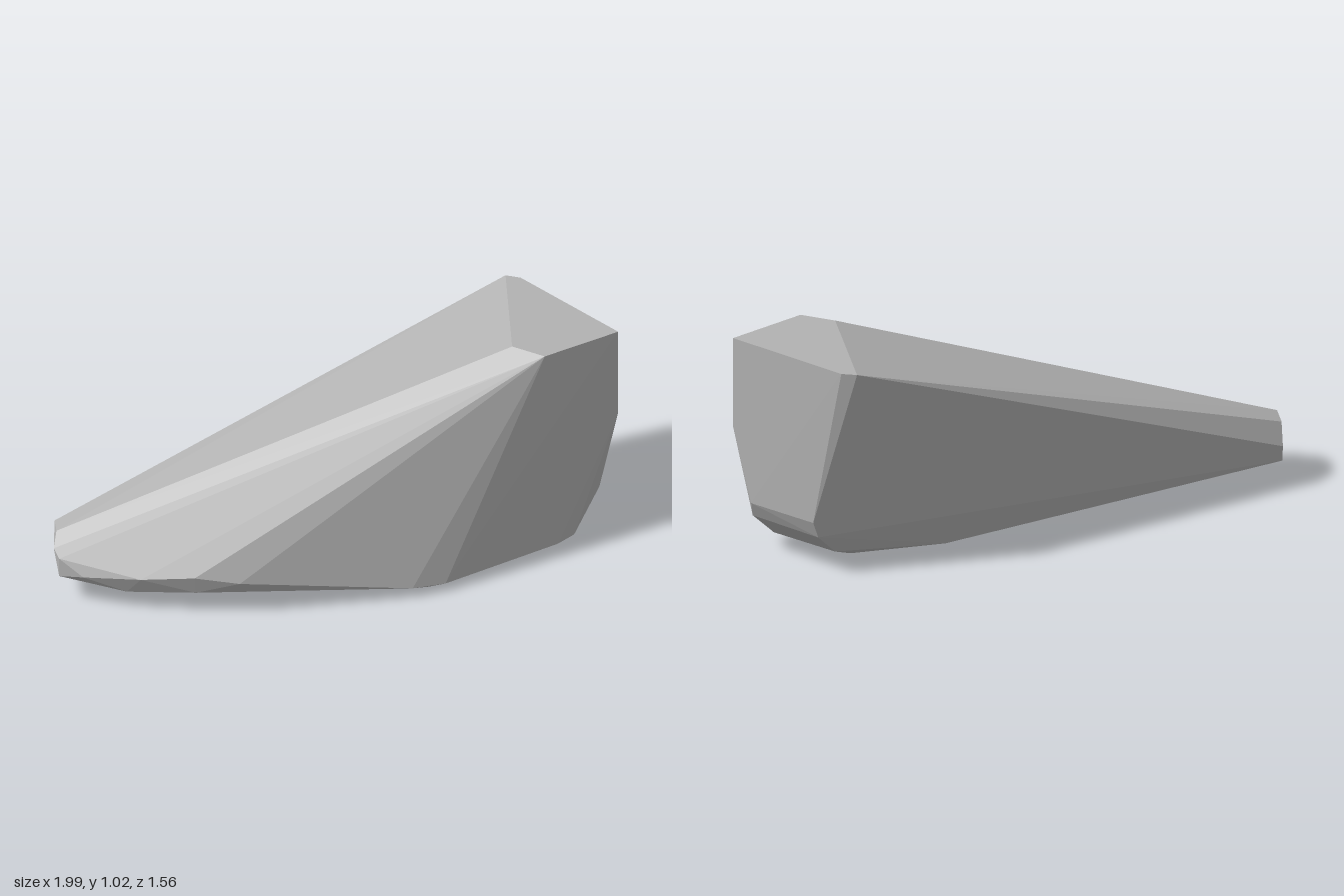
import * as THREE from 'three';
import { ConvexGeometry } from 'three/addons/geometries/ConvexGeometry.js';

const toPoints = (list) => list.map(([x, y, z]) => new THREE.Vector3(x, y, z));

export function createModel() {
  const group = new THREE.Group();
  group.name = 'facetedWedge';

  const grey = new THREE.MeshStandardMaterial({ color: 0xb2b2b2, flatShading: true });
  grey.name = 'stoneGrey';

  // Flat top at the tall end
  const top = [
    [0.96, 1.02, 0.155], [0.99, 1.02, 0.215], [0.98, 1.02, 0.78],
    [0.64, 1.02, 0.67], [0.6, 1.02, 0.52],
  ];
  // Tall end wall, bevelled towards the base
  const endWall = [
    [0.98, 0.6, 0.78], [0.99, 0.27, 0.68], [0.99, 0.27, 0.36],
    [0.95, 0.19, 0.7], [0.96, 0.19, 0.355], [0.85, 0.08, 0.345],
    [0.78, 0.035, 0.71], [0.7, 0.02, 0.69], [0.73, 0.02, 0.35],
  ];
  // Underside
  const base = [
    [0.02, 0.05, 0.48], [0.15, 0.04, 0.55], [0.12, 0.005, 0.48],
    [0.38, 0, 0.5], [0.4, 0.005, 0.09], [-0.91, 0.06, -0.63],
  ];
  // Rounded low nose
  const nose = [
    [-0.88, 0.29, -0.745], [-0.94, 0.3, -0.68], [-0.99, 0.25, -0.65],
    [-0.84, 0.2, -0.78], [-0.85, 0.125, -0.77], [-1, 0.22, -0.61],
    [-1, 0.13, -0.61], [-0.97, 0.16, -0.5], [-0.84, 0.18, -0.29],
    [-0.7, 0.2, -0.11], [-0.68, 0.11, -0.12], [-0.57, 0.17, 0.03],
    [-0.85, 0.09, -0.36],
  ];

  const body = new THREE.Mesh(
    new ConvexGeometry(toPoints([...top, ...endWall, ...base, ...nose])), grey);
  body.name = 'wedgeBody';
  group.add(body);
  return group;
}
